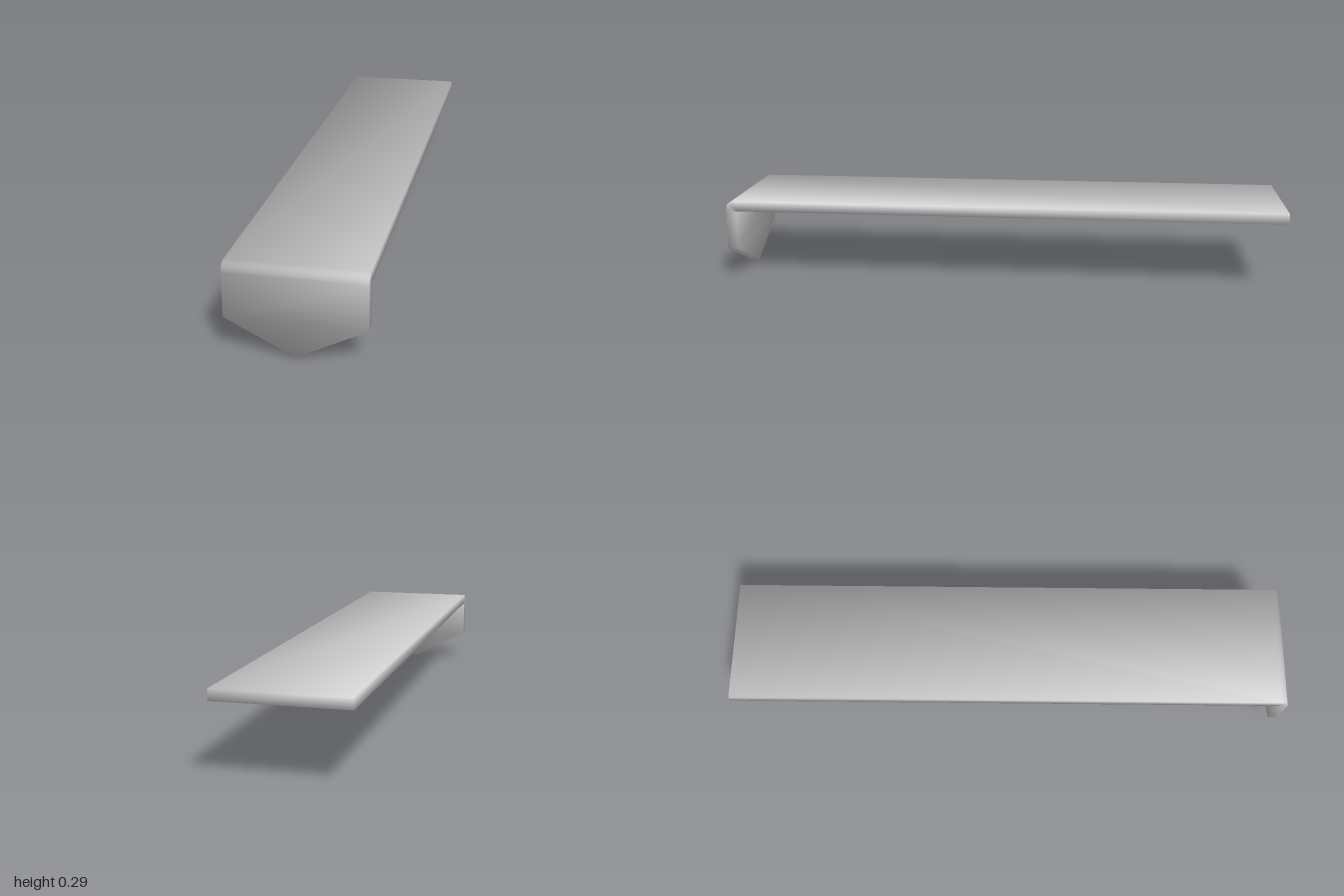
import * as THREE from 'three';

const HALF_WIDTH = 0.219, BACK = -1, SHOULDER = 0.112, TOP = 0.287, THICK = 0.037;
const OUTER_R = 0.03, INNER_R = 0.004, BEND_STEPS = 6;

// Bent strip with a pointed front flap, swept from four-cornered sections and softly shaded
function bentStrip() {
  const positions = [], normals = [], index = [];
  const addVertex = (x, y, z, ...directions) => {
    const n = directions.reduce((sum, d) => sum.add(d), new THREE.Vector3()).normalize();
    positions.push(x, y, z);
    normals.push(n.x, n.y, n.z);
  };
  const vec = (x, y, z) => new THREE.Vector3(x, y, z);

  // One section: outer left, outer right, inner right, inner left
  const addSection = (outer, inner, up, end = () => vec(0, 0, 0)) => {
    for (const [side, face] of [[-1, 1], [1, 1], [1, -1], [-1, -1]]) {
      const [y, z] = face > 0 ? outer : inner;
      addVertex(side * HALF_WIDTH, y, z, vec(side, 0, 0), up.clone().multiplyScalar(face), end(side));
    }
  };

  // Flat back end, rounded bend, then the shoulders of the flap
  addSection([TOP, BACK], [TOP - THICK, BACK], vec(0, 1, 0), () => vec(0, 0, -1));
  for (let i = 0; i <= BEND_STEPS; i++) {
    const a = (i / BEND_STEPS) * Math.PI / 2, c = Math.cos(a), s = Math.sin(a);
    addSection(
      [TOP - OUTER_R + OUTER_R * c, 1 - OUTER_R + OUTER_R * s],
      [TOP - THICK - INNER_R + INNER_R * c, 1 - THICK - INNER_R + INNER_R * s],
      vec(0, c, s));
  }
  addSection([SHOULDER, 1], [SHOULDER, 1 - THICK], vec(0, 0, 1),
    (side) => vec(side * SHOULDER, -HALF_WIDTH, 0).normalize());

  // Walls between sections
  const sections = BEND_STEPS + 3;
  for (let i = 0; i < sections - 1; i++) {
    for (let k = 0; k < 4; k++) {
      const l = (k + 1) % 4, a = i * 4, b = a + 4;
      index.push(a + k, b + k, a + l, b + k, b + l, a + l);
    }
  }
  index.push(0, 1, 2, 0, 2, 3); // back end

  // Point of the flap
  const e = (sections - 1) * 4, tip = e + 4, innerTip = e + 5;
  addVertex(0, 0, 1, vec(0, -1, 0), vec(0, 0, 1));
  addVertex(0, 0, 1 - THICK, vec(0, -1, 0), vec(0, 0, -1));
  index.push(
    e, tip, e + 1, e + 2, innerTip, e + 3,
    e + 1, tip, innerTip, e + 1, innerTip, e + 2,
    e, innerTip, tip, e, e + 3, innerTip);

  const geometry = new THREE.BufferGeometry();
  geometry.setAttribute('position', new THREE.Float32BufferAttribute(positions, 3));
  geometry.setAttribute('normal', new THREE.Float32BufferAttribute(normals, 3));
  geometry.setIndex(index);
  return geometry;
}

export function createModel() {
  const lightGrey = new THREE.MeshStandardMaterial({ color: 0xcccccc });
  lightGrey.name = 'lightGrey';

  const strip = new THREE.Mesh(bentStrip(), lightGrey);
  strip.name = 'bentStrip';

  const model = new THREE.Group();
  model.name = 'pointedBracket';
  model.add(strip);
  return model;
}
